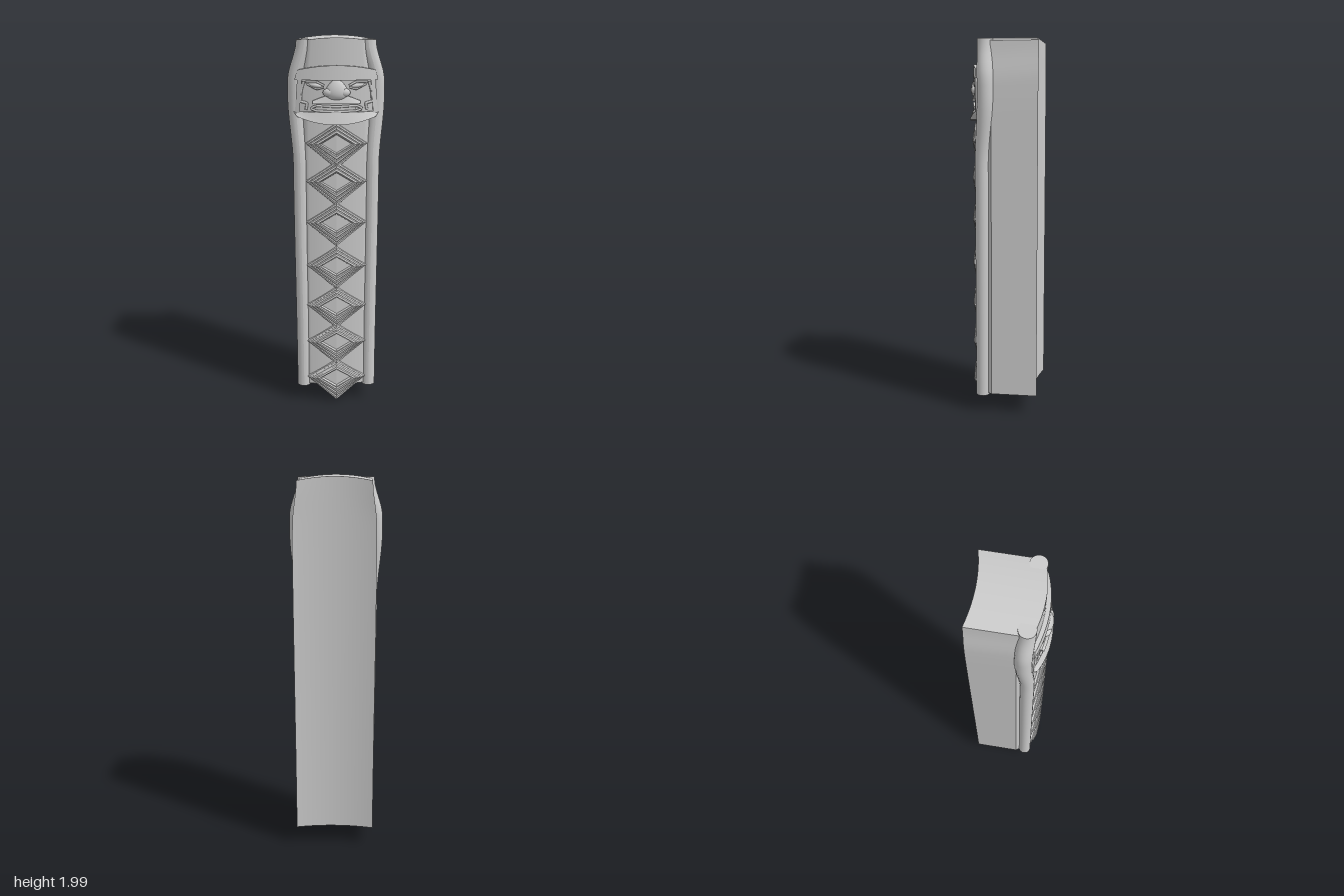
import * as THREE from 'three';

const smooth = new THREE.MeshStandardMaterial({ color: 0xcccccc });
const faceted = new THREE.MeshStandardMaterial({ color: 0xcccccc, flatShading: true });

// Smoothly interpolates rows of [y, value, value, ...] at height y.
function sample(rows, y) {
  let i = 0;
  while (i < rows.length - 2 && y > rows[i + 1][0]) i++;
  const a = rows[i], b = rows[i + 1];
  const t = THREE.MathUtils.smoothstep(y, a[0], b[0]);
  return a.slice(1).map((v, k) => v + (b[k + 1] - v) * t);
}

// Moves every vertex of a geometry by a rule.
function reshape(geometry, rule) {
  const p = geometry.attributes.position;
  for (let i = 0; i < p.count; i++) p.setXYZ(i, ...rule(p.getX(i), p.getY(i), p.getZ(i)));
  geometry.computeVertexNormals();
  return geometry;
}

// A box whose lattice (u -1..1, v 0..1, w 0 back / 1 front) is mapped to space.
const block = (nu, nv, map) =>
  reshape(new THREE.BoxGeometry(2, 1, 1, nu, nv, 1), (x, y, z) => map(x, y + 0.5, z + 0.5));

// The curve across the front that all the carving follows.
const bow = (x) => -0.9 * x * x;

export function createModel() {
  const model = new THREE.Group();
  const add = (name, geometry, material = smooth, parent = model) => {
    const mesh = new THREE.Mesh(geometry, material);
    mesh.name = name;
    parent.add(mesh);
    return mesh;
  };

  // Body: hollow back, bowed front, shoulders tapering to an arched top
  const widths = [[0.11, 0.208], [1.65, 0.214], [1.78, 0.212], [2, 0.19]];
  add('body', block(24, 40, (u, v, w) => {
    const y0 = 0.11 + 1.89 * v;
    const x = u * sample(widths, y0)[0];
    const y = y0 - 0.02 * u * u * v;
    const back = -0.166 - 0.026 * u * u;
    const edge = THREE.MathUtils.clamp((Math.abs(u) - 0.75) / 0.25, 0, 1);
    const front = 0.145 + bow(x) - 0.055 * edge;
    return [x, y, w ? front : back];
  }));

  // Side rails: rows of height, x, z, radius
  const rail = [
    [0.1, 0.179, 0.102, 0.036], [1.35, 0.187, 0.1, 0.037],
    [1.7, 0.207, 0.08, 0.042], [1.78, 0.207, 0.08, 0.042], [1.99, 0.16, 0.087, 0.042],
  ];
  for (const side of [-1, 1]) {
    add(side > 0 ? 'leftRail' : 'rightRail',
      reshape(new THREE.CylinderGeometry(1, 1, 1, 24, 48), (x, y, z) => {
        const h = 0.1 + 1.89 * (y + 0.5);
        const [cx, cz, r] = sample(rail, h);
        return [side * cx + x * r, h, cz + z * r];
      }));
  }

  // Diamonds: four-sided rings of ridges around a sunken middle [radius, z]
  const ridges = [
    [0, 0.128], [0.152, 0.128], [0.161, 0.145], [0.157, 0.16], [0.146, 0.163], [0.141, 0.156],
    [0.136, 0.168], [0.123, 0.171], [0.118, 0.162], [0.113, 0.173], [0.097, 0.175],
    [0.091, 0.165], [0.085, 0.165], [0.077, 0.149], [0, 0.149],
  ].map(([r, z]) => new THREE.Vector2(r, z));
  const diamonds = new THREE.Group();
  diamonds.name = 'diamonds';
  model.add(diamonds);
  [0.155, 0.368, 0.58, 0.807, 1.047, 1.268, 1.467].forEach((cy, i) => {
    const g = new THREE.LatheGeometry(ridges, 4).rotateX(Math.PI / 2);
    reshape(g, (x, y, z) => {
      const r = Math.abs(y);
      const out = Math.max(0, r - 0.085) / 0.075;
      const stretch = y > 0 ? 0.62 + 0.06 * out : 0.6 + (i ? 0.2 : 0.3) * out;
      // the lowest tip leans back
      const lean = i === 0 && y < 0 ? -0.016 * out : 0;
      return [x, cy + y * stretch, z + bow(x) + lean];
    });
    add('diamond', g, faceted, diamonds);
  });

  // Face
  const face = new THREE.Group();
  face.name = 'face';
  model.add(face);

  // Sunken ground behind the features
  add('faceGround', block(20, 4, (u, v, w) => {
    const x = 0.205 * u;
    return [x, 1.61 + 0.2 * v, (w ? 0.153 : 0.11) + bow(x)];
  }), smooth, face);

  // Brow band with an arched upper edge
  add('brow', block(24, 4, (u, v, w) => {
    const x = u * (0.212 - 0.012 * v);
    const top = 1.865 - 0.025 * u * u;
    return [x, 1.792 + (top - 1.792) * v, (w ? 0.17 - 0.004 * v : 0.11) + bow(x)];
  }), smooth, face);

  // Chin band flaring forward to its curved lower edge
  add('chin', block(24, 4, (u, v, w) => {
    const x = u * (0.2 + 0.02 * v);
    const low = 1.57 + 0.038 * u * u;
    return [x, low + (1.632 - low) * v, (w ? 0.189 - 0.02 * v : 0.125) + 1.15 * bow(x)];
  }), smooth, face);

  // Rounded feature following the bow of the front
  const blob = (name, x, y, z, sx, sy, sz, tilt = 0) =>
    add(name, reshape(new THREE.SphereGeometry(1, 24, 14).scale(sx, sy, sz).rotateZ(tilt).translate(x, y, z),
      (a, b, c) => [a, b, c + bow(a)]), smooth, face);

  // Raised line through points on the face
  const ridge = (name, points, z, radius, closed = false) => {
    const path = new THREE.CatmullRomCurve3(
      points.map(([x, y]) => new THREE.Vector3(x, y, z + bow(x))), closed, 'catmullrom', 0.2);
    return add(name, new THREE.TubeGeometry(path, 60, radius, 8, closed), smooth, face);
  };

  for (const s of [-1, 1]) {
    const side = s > 0 ? 'left' : 'right';
    // Side border joining brow and chin
    add(side + 'Border', block(4, 6, (u, v, w) => {
      const x = s * (0.2 - 0.014 * v) + u * 0.012;
      return [x, 1.62 + 0.18 * v, (w ? 0.168 : 0.11) + bow(x)];
    }), smooth, face);
    // Eyes, lids and nostrils
    blob(side + 'Eye', s * 0.108, 1.765, 0.155, 0.036, 0.012, 0.014, s * 0.15);
    ridge(side + 'UpperLid', [[s * 0.062, 1.765], [s * 0.1, 1.783], [s * 0.158, 1.782]], 0.162, 0.006);
    ridge(side + 'LowerLid', [[s * 0.064, 1.757], [s * 0.1, 1.748], [s * 0.15, 1.772]], 0.16, 0.005);
    blob(side + 'Nostril', s * 0.04, 1.731, 0.165, 0.03, 0.022, 0.02);
    // Cheek line
    ridge(side + 'Cheek', [[s * 0.165, 1.785], [s * 0.178, 1.74], [s * 0.182, 1.685],
      [s * 0.15, 1.675], [s * 0.155, 1.642]], 0.156, 0.007);
  }

  // Nose: wide below, narrow at the bridge
  add('nose', reshape(new THREE.SphereGeometry(1, 24, 16), (x, y, z) => {
    const px = x * 0.055 * (1 - 0.35 * y);
    return [px, 1.744 + y * 0.054, 0.158 + z * 0.03 * (1 - 0.25 * y) + bow(px)];
  }), smooth, face);

  // Upper lip arching over the mouth
  const lip = (n, map) => block(n, 3, map);
  add('upperLip', lip(20, (u, v, w) => {
    const x = 0.122 * u;
    const low = 1.675, top = 1.688 + 0.034 * Math.cos(u * Math.PI / 2);
    return [x, low + (top - low) * v, (w ? 0.178 - 0.012 * v : 0.13) + bow(x)];
  }), smooth, face);

  // Mouth ring with a bar of teeth inside
  ridge('mouth', [[-0.13, 1.65], [-0.1, 1.664], [0, 1.66], [0.1, 1.664], [0.13, 1.65],
    [0.1, 1.638], [0, 1.634], [-0.1, 1.638]], 0.164, 0.0065, true);
  add('teeth', lip(12, (u, v, w) => {
    const x = 0.1 * u;
    return [x, 1.638 + 0.022 * v, (w ? 0.16 : 0.13) + bow(x)];
  }), smooth, face);

  return model;
}
